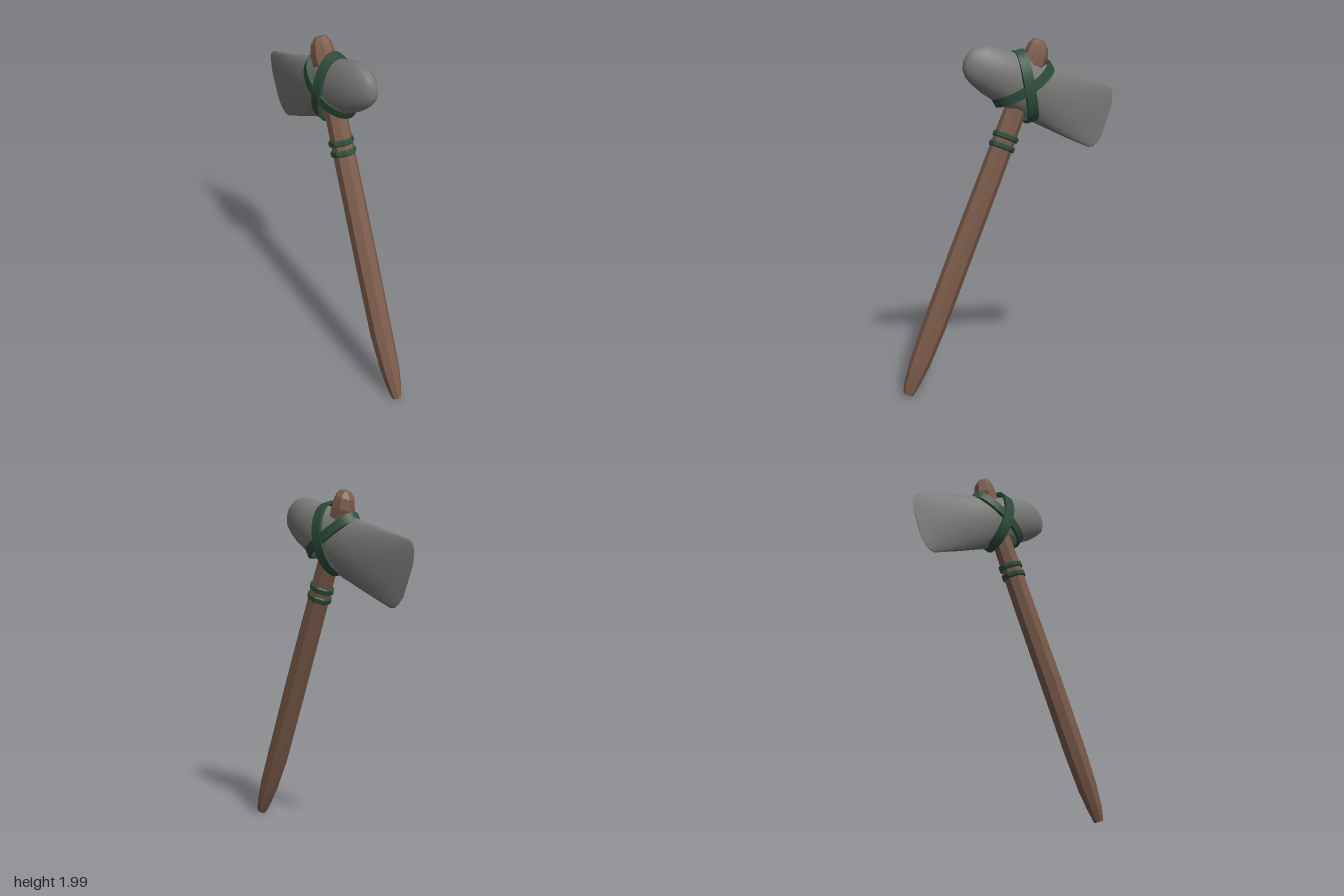
import * as THREE from 'three';
import { toCreasedNormals } from 'three/addons/utils/BufferGeometryUtils.js';

const V = (x, y, z = 0) => new THREE.Vector3(x, y, z);
const Z = V(0, 0, 1);

// Skin a list of rings; either capped at both ends or joined into a loop
function loft(rings, { closed = false, crease = 0.5 } = {}) {
  const n = rings[0].length, pos = [], idx = [];
  rings.forEach(r => r.forEach(p => pos.push(p.x, p.y, p.z)));
  const m = rings.length;
  for (let i = 0; i < (closed ? m : m - 1); i++) {
    for (let j = 0; j < n; j++) {
      const k = (j + 1) % n, q = (i + 1) % m;
      const a = i * n + j, b = i * n + k, c = q * n + k, d = q * n + j;
      idx.push(a, b, c, a, c, d);
    }
  }
  if (!closed) {
    for (let j = 1; j < n - 1; j++) {
      const e = (m - 1) * n;
      idx.push(0, j + 1, j, e, e + j, e + j + 1);
    }
  }
  const g = new THREE.BufferGeometry();
  g.setAttribute('position', new THREE.Float32BufferAttribute(pos, 3));
  g.setIndex(idx);
  return toCreasedNormals(g, crease);
}

// Elliptical ring spanned by the axes a and b
function ring(centre, a, ra, b, rb, n, phase = 0) {
  return Array.from({ length: n }, (_, j) => {
    const t = (j / n) * Math.PI * 2 + phase;
    return centre.clone().addScaledVector(a, ra * Math.cos(t)).addScaledVector(b, rb * Math.sin(t));
  });
}

export function createModel() {
  const wood = new THREE.MeshStandardMaterial({ color: 0x7d5c4b });
  const stone = new THREE.MeshStandardMaterial({ color: 0x787876 });
  const cord = new THREE.MeshStandardMaterial({ color: 0x2e4d3c });
  wood.name = 'wood';
  stone.name = 'stone';
  cord.name = 'cord';

  const model = new THREE.Group();
  model.name = 'stoneAxe';
  const add = (name, geometry, material) => {
    const mesh = new THREE.Mesh(geometry, material);
    mesh.name = name;
    model.add(mesh);
  };

  // Eight-sided handle, slightly bent, with a rounded knob and a tapered foot
  const down = V(0.38, -0.925).normalize();
  const side = down.clone().cross(Z);
  const octagon = (x, y, z, r) => ring(V(x, y, z), Z, r * 0.97, side, r * 1.05, 8, Math.PI / 8);
  add('handle', loft([
    [-0.168, 1.987, 0, 0.03],
    [-0.163, 1.955, 0, 0.055],
    [-0.148, 1.9, 0, 0.068],
    [-0.12, 1.83, 0, 0.064],
    [-0.03, 1.62, 0.008, 0.06],
    [0.14, 1.2, 0.022, 0.064],
    [0.304, 0.8, 0.038, 0.066],
    [0.465, 0.4, 0.052, 0.065],
    [0.55, 0.2, 0.054, 0.057],
    [0.6, 0.085, 0.055, 0.043],
    [0.625, 0.02, 0.055, 0.028],
  ].map(r => octagon(...r)), { crease: 0.3 }), wood);

  // Stone head: stations of [u, top, bottom, half thickness] along a tilted axis
  const tilt = THREE.MathUtils.degToRad(20);
  const u = V(Math.cos(tilt), Math.sin(tilt));
  const v = V(-Math.sin(tilt), Math.cos(tilt));
  const origin = V(-0.03, 1.74);
  add('axeHead', loft([
    [-0.624, 0.09, -0.1, 0.002],
    [-0.608, 0.15, -0.148, 0.004],
    [-0.59, 0.178, -0.175, 0.007],
    [-0.56, 0.193, -0.188, 0.013],
    [-0.4, 0.183, -0.181, 0.04],
    [-0.2, 0.17, -0.166, 0.074],
    [-0.05, 0.165, -0.15, 0.094],
    [0.08, 0.162, -0.132, 0.099],
    [0.19, 0.156, -0.11, 0.088],
    [0.26, 0.141, -0.086, 0.068],
    [0.305, 0.114, -0.064, 0.047],
    [0.333, 0.075, -0.032, 0.026],
    [0.345, 0.03, 0.004, 0.007],
  ].map(([s, top, bottom, half]) => {
    const c = origin.clone().addScaledVector(u, s).addScaledVector(v, (top + bottom) / 2);
    return ring(c, v, (top - bottom) / 2, Z, half, 32);
  }), { crease: 1.2 }), stone);

  // Flat strap looped round head and handle, bowed sideways on both faces
  function strap(start, end, depth, width, bow) {
    const centre = start.clone().add(end).multiplyScalar(0.5);
    const p = start.clone().sub(centre);
    const len = p.length();
    const dir = p.clone().normalize();
    const w = dir.clone().cross(Z);
    const rings = [];
    for (let i = 0; i < 56; i++) {
      const t = (i / 56) * Math.PI * 2, c = Math.cos(t), s = Math.sin(t);
      const mid = centre.clone().addScaledVector(p, c).addScaledVector(Z, depth * s)
        .addScaledVector(w, -bow * s * s);
      const out = dir.clone().multiplyScalar(c / len).addScaledVector(Z, s / depth).normalize();
      rings.push([[1, 1], [-1, 1], [-1, -1], [1, -1]].map(([a, b]) =>
        mid.clone().addScaledVector(w, a * width / 2).addScaledVector(out, b * 0.009)));
    }
    return loft(rings, { closed: true, crease: 0.7 });
  }
  add('uprightStrap', strap(V(-0.035, 1.925), V(-0.113, 1.54), 0.109, 0.062, -0.02), cord);
  add('diagonalStrap', strap(V(-0.233, 1.848), V(0.1, 1.646), 0.105, 0.052, 0.02), cord);

  // Two bindings below the head
  for (const [x, y, z] of [[0.034, 1.455, 0.014], [0.056, 1.402, 0.016]]) {
    const band = [[-0.017, 0.066], [-0.01, 0.072], [0.01, 0.072], [0.017, 0.066]].map(([h, r]) =>
      octagon(x + down.x * h, y + down.y * h, z, r));
    add('handleBinding', loft(band, { crease: 0.3 }), cord);
  }
  return model;
}
